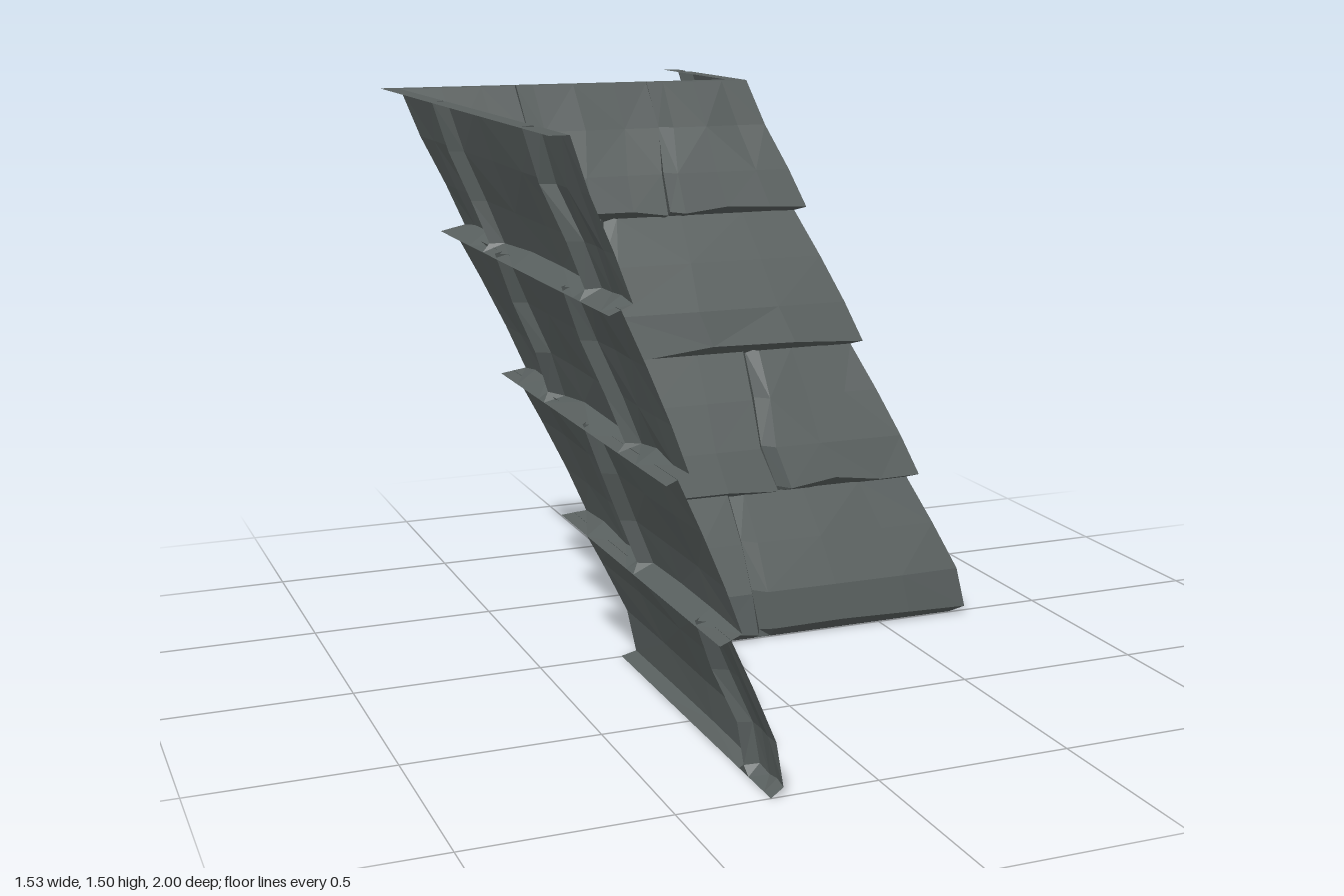
import * as THREE from 'three';

const stone = new THREE.MeshStandardMaterial({ color: 0x59605f, flatShading: true, side: THREE.DoubleSide });
stone.name = 'slate grey';

const TOP = 1.5, ROW = 0.375, SLOPE = 0.33;
const LEVELS = [0, 0.35, 0.7, 1];
// Horizontal distance of the slope's back line from its ridge at height y
const run = y => (TOP - y) * SLOPE;
const faceX = { left: -0.765, right: 0.235 }, faceZ = -0.465 - 0.035;

// Small seeded noise, -1..1
let seed = 7;
const rnd = () => ((seed = (seed * 16807) % 2147483647) / 2147483647) * 2 - 1;

// The three slopes: point(s, y, depth) places a vertex, start/end trim it at mitres and open ends.
// joints: for each course, the centre of every groove at four heights, top to bottom.
const slopes = [
  {
    name: 'leftSlope', flip: true,
    point: (s, y, d) => [faceX.left + run(y) + d, y, s],
    start: (y, d) => faceZ + run(y) + d, end: () => 1,
    joints: [
      [[0.02, 0.01, 0.02, 0.04], [0.78, 0.765, 0.785, 0.79]],
      [[0.15, 0.13, 0.14, 0.11], [0.68, 0.66, 0.675, 0.69]],
      [[0.44, 0.43, 0.41, 0.42]],
      [[0.85, 0.83, 0.855, 0.85]],
    ],
  },
  {
    name: 'middleSlope', flip: false,
    point: (s, y, d) => [s, y, faceZ + run(y) + d],
    start: (y, d) => faceX.left + run(y) + d, end: (y, d) => faceX.right + run(y) + d,
    joints: [
      [[-0.39, -0.37, -0.385, -0.375], [-0.01, 0.01, 0.005, 0.01]],
      [[-0.18, -0.2, -0.22, -0.2]],
      [[-0.32, -0.31, -0.29, -0.3], [0.19, 0.2, 0.2, 0.23]],
      [[0.09, 0.11, 0.12, 0.135]],
    ],
  },
  {
    name: 'rightSlope', flip: true,
    point: (s, y, d) => [faceX.right + run(y) + d, y, s],
    start: () => -1, end: (y, d) => faceZ + run(y) + d,
    joints: [
      [[-0.9, -0.89, -0.885, -0.88]],
      [[-0.645, -0.63, -0.64, -0.61]],
      [[-0.76, -0.73, -0.75, -0.74]],
      [[-0.44, -0.46, -0.475, -0.47]],
    ],
  },
];

// One course of stones: faces, V grooves between them and the ledge beneath
function course(slope, row) {
  const yTop = row === 0 ? TOP : TOP - row * ROW + 0.012;
  const yBack = TOP - (row + 1) * ROW;
  const yLip = yBack + 0.022;
  const depths = [row === 0 ? 0.045 : 0.03, 0.045, 0.056, row === 3 ? 0.038 : 0.06];
  const heights = LEVELS.map(t => yTop + (yLip - yTop) * t);

  const column = (sAt, dAt, lift = 0) => LEVELS.map((t, i) => {
    const y = heights[i] + (i === 3 ? lift : 0), d = dAt(i);
    return { s: sAt(i, y, d), y, d };
  });
  const edge = fn => column((i, y, d) => fn(y, d), i => depths[i]);

  // Edge columns and the three columns of each groove
  const main = [edge(slope.start)];
  slope.joints[row].forEach(centre => {
    const w = slope.flip ? [0.03, 0.016] : [0.016, 0.032];
    main.push(column(i => centre[i] - w[0] + rnd() * 0.006, i => depths[i], rnd() * 0.01));
    main.push(column(i => centre[i], i => Math.max(depths[i] - 0.035, 0.004)));
    main.push(column(i => centre[i] + w[1] + rnd() * 0.006, i => depths[i], rnd() * 0.01));
  });
  main.push(edge(slope.end));

  // Slightly uneven columns inside each stone
  const cols = [];
  main.forEach((c, k) => {
    cols.push(c);
    if (k % 3 || k === main.length - 1) return;
    const next = main[k + 1];
    [0.35, 0.7].forEach(f => cols.push(column(
      i => c[i].s + (next[i].s - c[i].s) * f,
      i => depths[i] + (i === 0 ? 0 : rnd() * 0.004),
      (rnd() + 0.7) * 0.009)));
  });

  // Add the ledge's back line, and the flat cap on the top course
  const last = cols.length - 1;
  const backS = (k, y, s) => k === 0 ? slope.start(y, 0) : k === last ? slope.end(y, 0) : s;
  const grid = cols.map((c, k) => {
    const line = c.map(p => slope.point(p.s, p.y, p.d));
    line.push(slope.point(backS(k, yBack, c[3].s), yBack, 0));
    if (row === 0) line.unshift(slope.point(backS(k, TOP, c[0].s), TOP, 0));
    return line;
  });

  const pos = [];
  for (let k = 0; k < last; k++) {
    for (let j = 0; j < grid[k].length - 1; j++) {
      const a = grid[k][j], b = grid[k][j + 1], c = grid[k + 1][j + 1], d = grid[k + 1][j];
      const tris = (k + j) % 2 ? [a, b, c, a, c, d] : [a, b, d, b, c, d];
      if (slope.flip) tris.reverse();
      tris.forEach(p => pos.push(...p));
    }
  }
  const geo = new THREE.BufferGeometry();
  geo.setAttribute('position', new THREE.Float32BufferAttribute(pos, 3));
  geo.computeVertexNormals();
  const mesh = new THREE.Mesh(geo, stone);
  mesh.name = `${slope.name}Course${row + 1}`;
  return mesh;
}

export function createModel() {
  const model = new THREE.Group();
  model.name = 'steppedRoof';
  slopes.forEach(slope => {
    const group = new THREE.Group();
    group.name = slope.name;
    for (let row = 0; row < 4; row++) group.add(course(slope, row));
    model.add(group);
  });
  return model;
}
